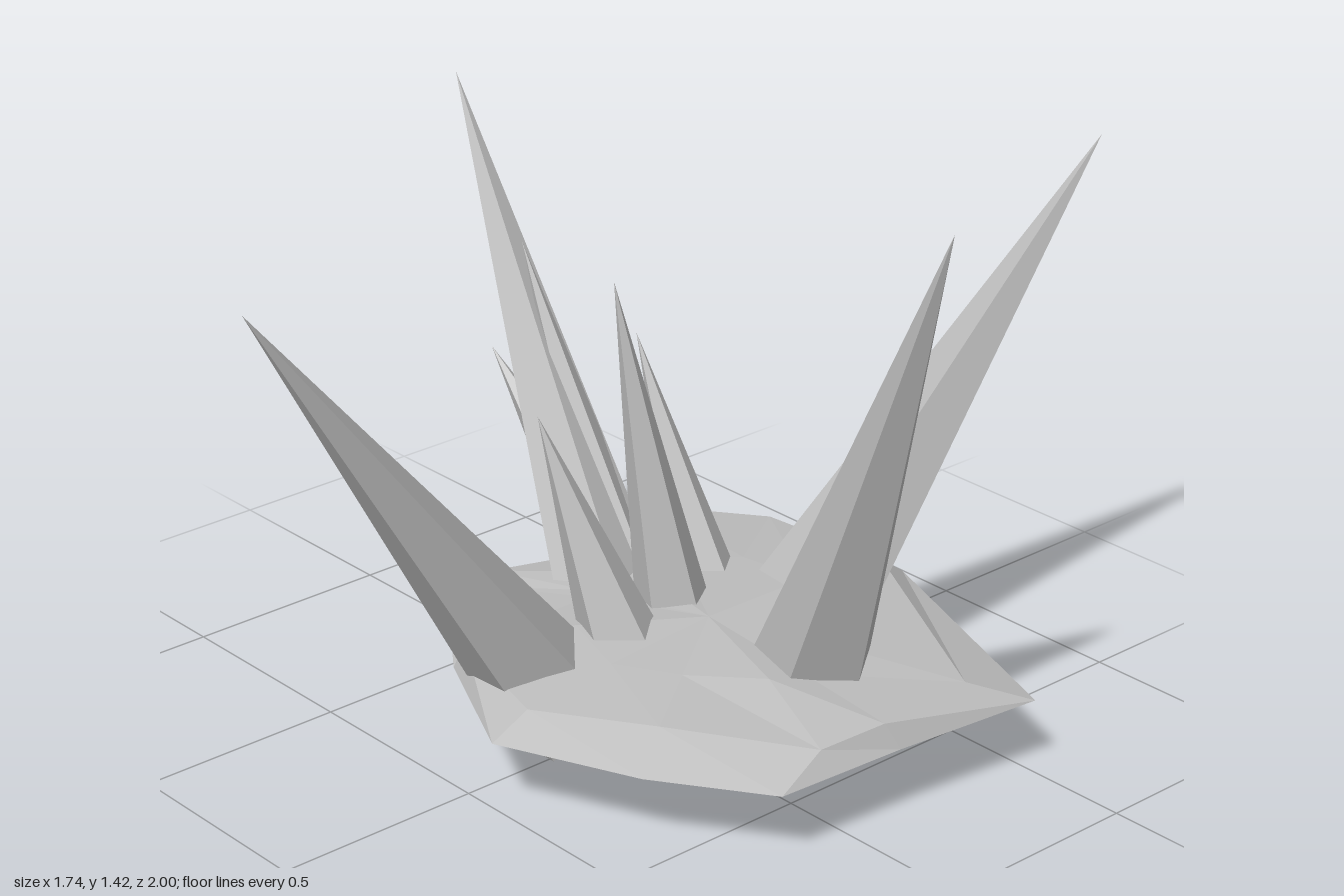
import * as THREE from 'three';

const stone = new THREE.MeshStandardMaterial({ color: 0xbdbdbd, flatShading: true });
stone.name = 'grey crystal';

// Five-sided spike from a base centre to its tip; roll turns the first corner from +z towards +x
function spike(name, base, tip, radius, roll) {
  const from = new THREE.Vector3(...base);
  const axis = new THREE.Vector3(...tip).sub(from);
  const length = axis.length();
  const geometry = new THREE.ConeGeometry(radius, length, 5, 1);
  geometry.translate(0, length / 2, 0);
  geometry.rotateY(roll);
  const mesh = new THREE.Mesh(geometry, stone);
  mesh.quaternion.setFromUnitVectors(new THREE.Vector3(0, 1, 0), axis.normalize());
  mesh.position.copy(from);
  mesh.name = name;
  return mesh;
}

// Thin faceted rock plate: flat underside, sloped rim and a low crown
function rockPlate() {
  const rim = [[0.1, -0.74], [0.75, -0.5], [0.71, -0.12], [0.69, 0.21], [0.44, 0.38], [0.11, 0.52],
    [-0.22, 0.36], [-0.45, 0.19], [-0.49, 0.09], [-0.4, -0.2], [-0.51, -0.49], [-0.27, -0.7]];
  const shoulder = [[0.11, -0.66], [0.65, -0.38], [0.68, -0.1], [0.66, 0.07], [0.37, 0.27], [0.11, 0.42],
    [-0.2, 0.34], [-0.4, 0.1], [-0.45, 0.06], [-0.38, -0.2], [-0.47, -0.45], [-0.25, -0.64]];
  const cx = 0.1, cz = -0.12;
  const rings = [
    rim.map(([x, z]) => [x, 0.197, z]),
    shoulder.map(([x, z], i) => [x, i % 2 ? 0.245 : 0.255, z]),
    shoulder.map(([x, z], i) => [cx + (x - cx) * 0.55, i % 3 ? 0.27 : 0.285, cz + (z - cz) * 0.55]),
  ];
  const points = [];
  const n = rim.length;
  for (let i = 0; i < n; i++) {
    const j = (i + 1) % n;
    points.push([cx, 0.197, cz], rings[0][i], rings[0][j]);
    for (let k = 0; k < 2; k++) {
      const [a, b, c, d] = [rings[k][i], rings[k][j], rings[k + 1][j], rings[k + 1][i]];
      points.push(a, c, b, a, d, c);
    }
    points.push([cx, 0.285, cz], rings[2][j], rings[2][i]);
  }
  const geometry = new THREE.BufferGeometry();
  geometry.setAttribute('position', new THREE.Float32BufferAttribute(points.flat(), 3));
  geometry.computeVertexNormals();
  const mesh = new THREE.Mesh(geometry, stone);
  mesh.name = 'rockPlate';
  return mesh;
}

export function createModel() {
  const group = new THREE.Group();
  group.name = 'crystalCluster';
  const right = Math.PI / 2;
  group.add(
    rockPlate(),
    // Large outer spikes
    spike('frontSpike', [-0.06, 0.1, 0.18], [-0.06, 1.27, 1], 0.15, Math.PI),
    spike('backSpike', [0.07, 0.1, -0.4], [0.42, 1.31, -1], 0.165, Math.PI - 0.3),
    spike('leftSpike', [0.3, 0.09, -0.21], [0.87, 1.44, -0.06], 0.155, right),
    spike('rightSpike', [-0.2, 0.09, -0.12], [-0.87, 1.31, -0.2], 0.15, 1.2),
    // Small inner spikes
    spike('lowSpike', [-0.26, 0.12, -0.24], [-0.78, 0.64, -0.22], 0.12, right),
    spike('slimSpike', [-0.2, 0.13, -0.18], [-0.6, 0.97, -0.17], 0.095, right),
    spike('rearInnerSpike', [-0.08, 0.13, -0.32], [-0.36, 0.78, -0.31], 0.09, right),
    spike('frontInnerSpike', [0.04, 0.11, 0.03], [-0.18, 0.76, 0.14], 0.12, right),
    spike('middleSpike', [-0.03, 0.11, -0.16], [-0.14, 1.04, -0.05], 0.105, right),
  );
  return group;
}
